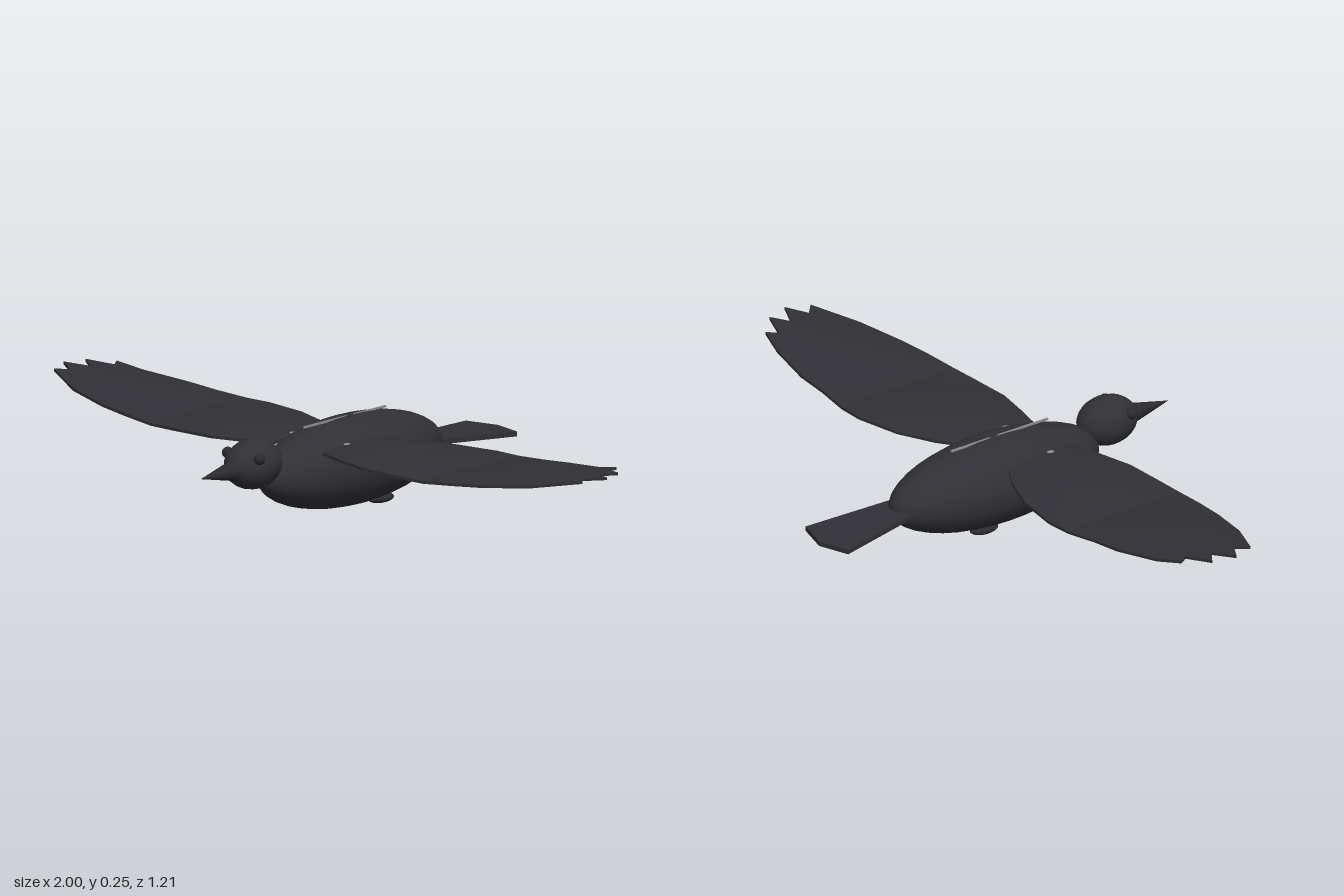
import * as THREE from 'three';

const mat = (name, color) => {
  const m = new THREE.MeshStandardMaterial({ color });
  m.name = name;
  return m;
};

// Closed thin loft through rows of [x, y, z] points; side = 1 left, -1 right
function loft(rows, side, thick) {
  const n = rows[0].length, pos = [], idx = [];
  const quad = (a, b, c, d) => {
    if (side > 0) idx.push(a, b, c, a, c, d);
    else idx.push(a, c, b, a, d, c);
  };
  const half = rows.length * n;
  for (const s of [0.5, -0.5])
    for (const row of rows)
      for (const [x, y, z] of row) pos.push(side * x, y + s * thick, z);
  for (let r = 0; r < rows.length - 1; r++)
    for (let i = 0; i < n - 1; i++) {
      const a = r * n + i, b = a + n;
      quad(a, b, b + 1, a + 1);
      quad(half + a, half + a + 1, half + b + 1, half + b);
    }
  // Separate rim vertices keep the edge crisp
  const rim = [];
  for (let i = 0; i < n; i++) rim.push(i);
  for (let r = 1; r < rows.length; r++) rim.push(r * n + n - 1);
  for (let i = n - 2; i >= 0; i--) rim.push((rows.length - 1) * n + i);
  for (let r = rows.length - 2; r > 0; r--) rim.push(r * n);
  rim.forEach((a, k) => {
    const b = rim[(k + 1) % rim.length], s = pos.length / 3;
    for (const v of [a, b, half + b, half + a]) pos.push(pos[v * 3], pos[v * 3 + 1], pos[v * 3 + 2]);
    quad(s, s + 1, s + 2, s + 3);
  });
  const g = new THREE.BufferGeometry();
  g.setAttribute('position', new THREE.Float32BufferAttribute(pos, 3));
  g.setIndex(idx);
  g.computeVertexNormals();
  return g;
}

// Chord across the wing with an arched middle
function chord(x, front, back, y, camber, n = 7) {
  return Array.from({ length: n }, (_, i) => {
    const t = i / (n - 1), u = 2 * t - 1;
    return [x, y + camber * (1 - u * u), front + (back - front) * t];
  });
}

export function createModel() {
  const bird = new THREE.Group();
  bird.name = 'bird';
  const plumage = mat('charcoal plumage', 0x303036);
  const dark = mat('dark beak and eyes', 0x2a2a2f);
  const grey = mat('grey', 0x8c8c8c);

  const add = (name, geo, material, x = 0, y = 0, z = 0) => {
    const m = new THREE.Mesh(geo, material);
    m.name = name;
    m.position.set(x, y, z);
    bird.add(m);
    return m;
  };
  const ellipsoid = (rx, ry, rz, w = 24, h = 16) =>
    new THREE.SphereGeometry(1, w, h).rotateX(Math.PI / 2).scale(rx, ry, rz);

  // Body, head and beak
  add('body', ellipsoid(0.13, 0.125, 0.352, 32, 20), plumage, 0, 0.132, 0);
  add('head', ellipsoid(0.07, 0.07, 0.092), plumage, 0, 0.19, 0.394);
  add('beak', new THREE.ConeGeometry(0.033, 0.15, 16).rotateX(Math.PI / 2), dark, 0, 0.185, 0.533);

  // Thin line along the back
  add('backLine', new THREE.BoxGeometry(0.006, 0.005, 0.335), grey, 0, 0.254, 0.02);

  // Tail fan, sloping down to the rear
  const tailShape = new THREE.Shape([
    [-0.045, 0.28], [-0.055, 0.33], [-0.094, 0.58], [0, 0.607],
    [0.094, 0.58], [0.055, 0.33], [0.045, 0.28],
  ].map(([x, y]) => new THREE.Vector2(x, y)));
  const tailGeo = new THREE.ExtrudeGeometry(tailShape, { depth: 0.014, bevelEnabled: false })
    .rotateX(-Math.PI / 2);
  const p = tailGeo.attributes.position;
  for (let i = 0; i < p.count; i++) p.setY(i, p.getY(i) + 0.123 + (p.getZ(i) + 0.33) * 0.07);
  tailGeo.computeVertexNormals();
  add('tail', tailGeo, plumage);

  // Wing sections, with feather tips as a zigzag last row
  const inner = [
    chord(0.09, 0.21, -0.02, 0.199, 0.008),
    chord(0.17, 0.232, -0.07, 0.197, 0.018),
    chord(0.28, 0.257, -0.115, 0.195, 0.027),
    chord(0.42, 0.258, -0.139, 0.194, 0.014),
    chord(0.5, 0.257, -0.136, 0.194, 0.003),
  ];
  const tips = [[0.973, 0.128], [0.94, 0.096], [1, 0.059], [0.93, 0.027],
    [0.98, -0.01], [0.9, -0.04], [0.92, -0.07]];
  const outer = [
    chord(0.5, 0.257, -0.136, 0.194, 0.003),
    chord(0.6, 0.247, -0.124, 0.202, 0.014),
    chord(0.7, 0.232, -0.12, 0.21, 0.02),
    chord(0.84, 0.195, -0.093, 0.225, 0.016),
    tips.map(([x, z]) => [x, 0.24 + (x - 0.9) * 0.1, z]),
  ];

  for (const [side, label] of [[1, 'left'], [-1, 'right']]) {
    add(label + 'InnerWing', loft(inner, side, 0.008), plumage);
    add(label + 'OuterWing', loft(outer, side, 0.008), plumage);
    add(label + 'Eye', new THREE.SphereGeometry(0.016, 16, 12), dark, side * 0.058, 0.219, 0.433);
    add(label + 'Shoulder', ellipsoid(0.015, 0.015, 0.018, 12, 8), grey, side * 0.1, 0.2, 0.12);
    add(label + 'Foot', ellipsoid(0.027, 0.013, 0.045, 16, 10), dark, side * 0.05, 0.018, -0.073);
  }
  bird.updateMatrixWorld(true);
  const box = new THREE.Box3().setFromObject(bird);
  bird.position.y = -box.min.y;
  return bird;
}
